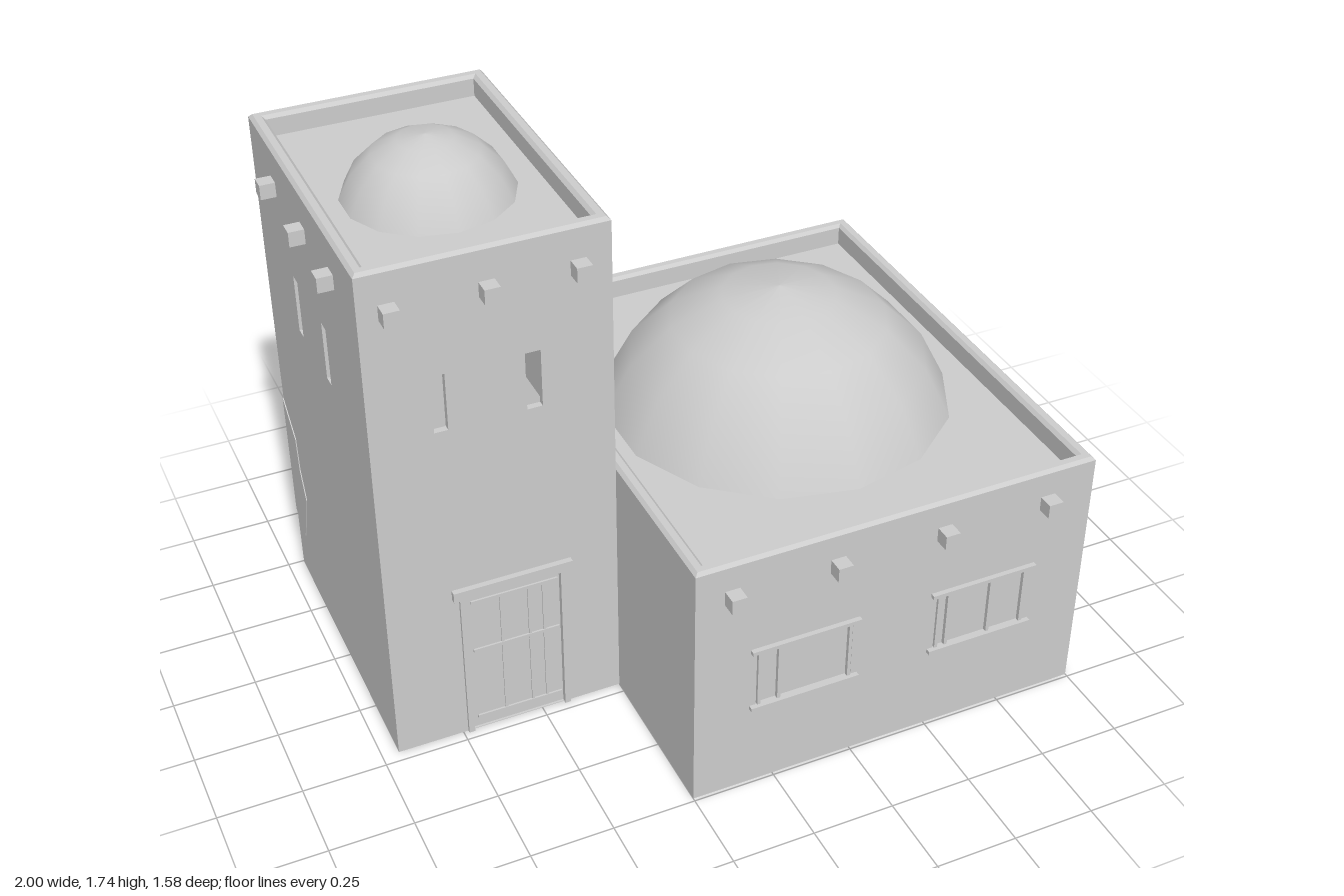
import * as THREE from 'three';

const T = 0.02; // wall thickness
const mat = new THREE.MeshStandardMaterial({ color: 0xcccccc, side: THREE.DoubleSide });

function add(parent, name, geometry) {
  const mesh = new THREE.Mesh(geometry, mat);
  mesh.name = name;
  parent.add(mesh);
  return mesh;
}

// Box given by its minimum and maximum on each axis
function block(parent, name, x0, x1, y0, y1, z0, z1) {
  const mesh = add(parent, name, new THREE.BoxGeometry(x1 - x0, y1 - y0, z1 - z0));
  mesh.position.set((x0 + x1) / 2, (y0 + y1) / 2, (z0 + z1) / 2);
  return mesh;
}

// Upright slab with rectangular openings [a0, a1, y0, y1]; a runs along x or z
function wall(parent, name, axis, at, a0, a1, y0, y1, openings = []) {
  const rect = (Type, l, r, b, t) => new Type([[l, b], [r, b], [r, t], [l, t]].map(p => new THREE.Vector2(...p)));
  const shape = rect(THREE.Shape, a0, a1, y0, y1);
  shape.holes = openings.map(o => rect(THREE.Path, ...o));
  const geo = new THREE.ExtrudeGeometry(shape, { depth: T, bevelEnabled: false });
  if (axis === 'z') geo.translate(0, 0, at);
  else geo.rotateY(-Math.PI / 2).translate(at + T, 0, 0);
  return add(parent, name, geo);
}

// Parapet: a chamfered profile carried round a rectangle
function parapet(parent, name, x0, x1, z0, z1, floor, top) {
  const profile = [[0, floor], [0, top - 0.01], [0.01, top], [0.03, top], [0.04, top - 0.01], [0.04, floor]];
  const corner = ([d, y], j) => [
    [x0 + d, y, z1 - d], [x1 - d, y, z1 - d], [x1 - d, y, z0 + d], [x0 + d, y, z0 + d]][j % 4];
  const pos = [];
  for (let i = 0; i < profile.length - 1; i++) {
    for (let j = 0; j < 4; j++) {
      const a = corner(profile[i], j), b = corner(profile[i], j + 1);
      const c = corner(profile[i + 1], j + 1), d = corner(profile[i + 1], j);
      pos.push(...a, ...b, ...c, ...a, ...c, ...d);
    }
  }
  const geo = new THREE.BufferGeometry();
  geo.setAttribute('position', new THREE.Float32BufferAttribute(pos, 3));
  geo.computeVertexNormals();
  add(parent, name, geo);
  block(parent, name + 'Roof', x0 + 0.005, x1 - 0.005, floor - T, floor, z0 + 0.005, z1 - 0.005);
}

// Spherical cap with fourteen sides
function dome(parent, name, radius, x, top, z) {
  const pts = [];
  for (let i = 4; i >= 0; i--) {
    const a = i * Math.PI / 10;
    pts.push(new THREE.Vector2(radius * Math.sin(a), radius * (Math.cos(a) - 1)));
  }
  add(parent, name, new THREE.LatheGeometry(pts, 14)).position.set(x, top, z);
}

// Square beam end sticking out of a wall
function beam(parent, x, y, z) {
  const h = 0.0225;
  block(parent, 'beamEnd', x - h, x + h, y - h, y + h, z - h, z + h);
}

// Thin irregular plaster patch lying on a wall
function patch(parent, axis, at, points) {
  const shape = new THREE.Shape(points.map(p => new THREE.Vector2(...p)));
  const geo = new THREE.ExtrudeGeometry(shape, { depth: 0.006, bevelEnabled: false });
  if (axis === 'z') geo.translate(0, 0, at - 0.003);
  else geo.rotateY(-Math.PI / 2).translate(at + 0.003, 0, 0);
  add(parent, 'plasterPatch', geo);
}

// Window with pane, frame, mullions, and a lintel and sill on both wall faces
function windowUnit(parent, x0, x1, mullions) {
  const g = new THREE.Group();
  g.name = 'window';
  parent.add(g);
  const y0 = 0.29, y1 = 0.485, z = 0.74;
  block(g, 'pane', x0, x1, y0, y1, z - 0.014, z - 0.008);
  for (const m of [x0 + 0.008, ...mullions, x1 - 0.008])
    block(g, 'mullion', m - 0.005, m + 0.005, y0, y1, z - T - 0.004, z + 0.004);
  for (const y of [y0 - 0.012, y1])
    block(g, 'frameBar', x0 - 0.02, x1 + 0.02, y, y + 0.012, z - T - 0.015, z + 0.015);
}

export function createModel() {
  const model = new THREE.Group();
  model.name = 'domedHouse';
  const tower = new THREE.Group(), hall = new THREE.Group();
  tower.name = 'tower';
  hall.name = 'hall';
  model.add(tower, hall);

  const L = -0.95, M = -0.25, R = 1, B = -0.745, TF = 0.215, HF = 0.74;
  const towerFloor = 1.56, hallFloor = 0.75;

  // Tower walls with slit windows and a doorway
  const slitsX = [[-0.77, -0.73, 1.09, 1.27], [-0.505, -0.46, 1.09, 1.27]];
  const slitsZ = [[-0.42, -0.38, 1.09, 1.27], [-0.155, -0.115, 1.09, 1.27]];
  const doorway = [-0.72, -0.425, 0.002, 0.505];
  wall(tower, 'towerFrontWall', 'z', TF - T, L, M, 0, towerFloor, [...slitsX, doorway]);
  wall(tower, 'towerBackWall', 'z', B, L, M, 0, towerFloor, slitsX);
  wall(tower, 'towerLeftWall', 'x', L, B, TF, 0, towerFloor, slitsZ);
  wall(tower, 'towerRightWall', 'x', M - T, B, TF, hallFloor - T, towerFloor, slitsZ);
  parapet(tower, 'towerParapet', L, M, B, TF, towerFloor, 1.625);
  dome(tower, 'towerDome', 0.258, -0.6, 1.735, -0.222);

  // Hall walls; the hall opens into the tower inside
  const win1 = [-0.06, 0.24, 0.29, 0.485], win2 = [0.51, 0.81, 0.29, 0.485];
  wall(hall, 'hallFrontWall', 'z', HF - T, M, R, 0, hallFloor, [win1, win2]);
  wall(hall, 'hallBackWall', 'z', B, M, R, 0, hallFloor);
  wall(hall, 'hallRightWall', 'x', R - T, B, HF, 0, hallFloor);
  wall(hall, 'hallLeftWall', 'x', M, TF - T, HF, 0, hallFloor);
  parapet(hall, 'hallParapet', M, R, B, HF, hallFloor, 0.82);
  dome(hall, 'hallDome', 0.55, 0.37, 1.13, -0.01);
  windowUnit(hall, win1[0], win1[1], [0.01]);
  windowUnit(hall, win2[0], win2[1], [0.55, 0.69]);

  // Door: leaf, planks, battens, posts and lintel
  const door = new THREE.Group();
  door.name = 'door';
  tower.add(door);
  block(door, 'doorLeaf', -0.72, -0.425, 0, 0.505, TF - 0.014, TF - 0.007);
  for (const x of [-0.61, -0.525, -0.48])
    block(door, 'plankStrip', x - 0.004, x + 0.004, 0.04, 0.47, TF - 0.018, TF - 0.003);
  for (const y of [0.035, 0.29, 0.47])
    block(door, 'batten', -0.7, -0.435, y, y + 0.01, TF - 0.018, TF - 0.001);
  for (const x of [-0.735, -0.43])
    block(door, 'doorPost', x, x + 0.018, 0, 0.51, TF - T - 0.01, TF + 0.01);
  block(door, 'lintel', -0.755, -0.395, 0.51, 0.542, TF - T - 0.018, TF + 0.018);

  // Roof beam ends
  const out = 0.0225;
  for (const x of [-0.87, -0.6, -0.345]) beam(tower, x, 1.5, TF + out);
  for (const x of [-0.86, -0.61, -0.335]) beam(tower, x, 1.5, B - out);
  for (const z of [-0.53, -0.25, 0.005]) {
    beam(tower, L - out, 1.5, z);
    beam(tower, M + out, 1.5, z);
  }
  for (const x of [-0.14, 0.18, 0.515, 0.85]) beam(hall, x, 0.71, HF + out);
  for (const x of [-0.15, 0.19, 0.525, 0.845]) beam(hall, x, 0.71, B - out);

  // Weathered plaster
  patch(hall, 'z', B, [[0.41, 0.28], [0.38, 0.4], [0.29, 0.49], [0.18, 0.48], [0.17, 0.36], [0.13, 0.26], [0.15, 0.14], [0.3, 0.17], [0.38, 0.2]]);
  patch(hall, 'x', R, [[0.13, 0.33], [0.09, 0.2], [0.07, 0.01], [0.4, 0.01], [0.38, 0.24], [0.2, 0.34]]);
  patch(tower, 'x', L, [[B, 0.65], [-0.64, 0.56], [-0.63, 0.45], [-0.59, 0.36], [-0.66, 0.17], [B, 0.22]]);
  patch(tower, 'z', B, [[L, 0.65], [-0.91, 0.63], [-0.92, 0.45], [-0.89, 0.26], [L, 0.22]]);
  return model;
}
